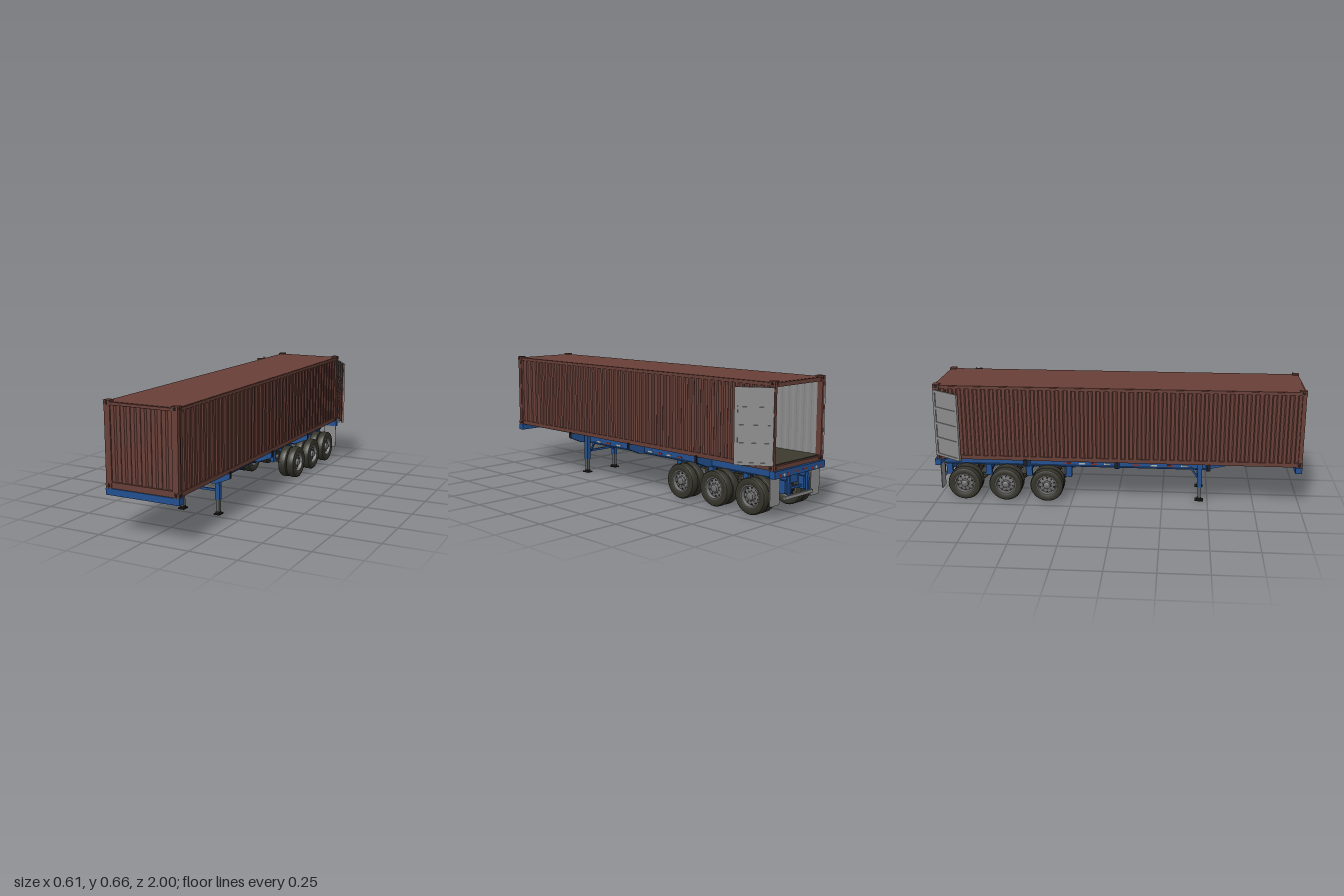
import * as THREE from 'three';
import { toCreasedNormals } from 'three/addons/utils/BufferGeometryUtils.js';

const paint = (name, color) => {
  const m = new THREE.MeshStandardMaterial({ color });
  m.name = name;
  return m;
};

export function createModel() {
  const brown = paint('container brown', 0x683f37);
  const blue = paint('chassis blue', 0x22508f);
  const grey = paint('liner grey', 0x8c8c8c);
  const rubber = paint('tyre rubber', 0x35342b);
  const rimGrey = paint('rim grey', 0x707070);
  const wood = paint('floor wood', 0x3d3a2f);
  const steel = paint('rod steel', 0x5a5f5d);
  const dark = paint('dark holes', 0x201c1a);
  const red = paint('lamp red', 0x8f2a1c);
  const white = paint('tape white', 0xb5b5b0);

  const root = new THREE.Group();
  root.name = 'containerTrailer';
  const group = (name, parent = root) => {
    const g = new THREE.Group();
    g.name = name;
    parent.add(g);
    return g;
  };
  const add = (p, name, geo, mat, x = 0, y = 0, z = 0) => {
    const m = new THREE.Mesh(geo, mat);
    m.name = name;
    m.position.set(x, y, z);
    p.add(m);
    return m;
  };
  const box = (p, name, mat, w, h, d, x, y, z) => add(p, name, new THREE.BoxGeometry(w, h, d), mat, x, y, z);
  const cyl = (p, name, mat, r, len, axis, x, y, z, seg = 12) => {
    const g = new THREE.CylinderGeometry(r, r, len, seg);
    if (axis === 'x') g.rotateZ(-Math.PI / 2);
    if (axis === 'z') g.rotateX(Math.PI / 2);
    return add(p, name, g, mat, x, y, z);
  };
  // Corrugated sheet, facing +z, with grooves going back by depth
  const sheet = (length, height, count, depth) => {
    const pts = [], pitch = length / count, pos = [], h = height / 2;
    for (let i = 0; i < count; i++) {
      const a = -length / 2 + i * pitch;
      pts.push([a, 0], [a + pitch * 0.36, 0], [a + pitch * 0.5, -depth], [a + pitch * 0.86, -depth]);
    }
    pts.push([length / 2, 0]);
    for (let i = 0; i < pts.length - 1; i++) {
      const [a, d] = pts[i], [b, e] = pts[i + 1];
      pos.push(a, -h, d, b, -h, e, b, h, e, a, -h, d, b, h, e, a, h, d);
    }
    const g = new THREE.BufferGeometry();
    g.setAttribute('position', new THREE.Float32BufferAttribute(pos, 3));
    g.computeVertexNormals();
    return g;
  };
  const extrude = (points, depth) => new THREE.ExtrudeGeometry(
    new THREE.Shape(points.map(([a, b]) => new THREE.Vector2(a, b))), { depth, bevelEnabled: false });
  const sides = [1, -1];

  // Container shell
  const shell = group('container');
  const L = 1.95, zMid = 0.006, H = 0.39, yMid = 0.45;
  for (const s of sides) {
    const turn = s * Math.PI / 2;
    add(shell, 'outerSideWall', sheet(L, H, 44, 0.006).rotateY(turn), brown, s * 0.196, yMid, zMid);
    add(shell, 'innerSideWall', sheet(L, H, 44, 0.004).rotateY(-turn), grey, s * 0.184, yMid, zMid);
    box(shell, 'topSideRail', brown, 0.014, 0.014, 1.96, s * 0.191, 0.646, zMid);
    box(shell, 'bottomSideRail', brown, 0.012, 0.022, 1.96, s * 0.192, 0.252, zMid);
    box(shell, 'frontPost', brown, 0.032, 0.38, 0.022, s * 0.183, 0.45, 0.986);
    box(shell, 'rearPost', brown, 0.016, 0.38, 0.03, s * 0.191, 0.45, -0.972);
    for (const z of [0.981, -0.971]) for (const y of [0.252, 0.651]) {
      box(shell, 'cornerCasting', brown, 0.034, 0.024, 0.036, s * 0.184, y, z);
      cyl(shell, 'castingSideHole', dark, 0.008, 0.002, 'x', s * 0.2008, y, z).scale.z = 1.3;
      cyl(shell, 'castingEndHole', dark, 0.007, 0.002, 'z', s * 0.184, y, z + Math.sign(z) * 0.0178).scale.y = 1.3;
    }
  }
  add(shell, 'outerFrontWall', sheet(0.336, 0.378, 6, 0.007), brown, 0, 0.452, 0.99);
  add(shell, 'innerFrontWall', sheet(0.376, 0.39, 7, 0.004).rotateY(Math.PI), grey, 0, 0.452, 0.976);
  box(shell, 'frontHeader', brown, 0.34, 0.014, 0.022, 0, 0.647, 0.986);
  box(shell, 'frontSill', brown, 0.34, 0.03, 0.022, 0, 0.256, 0.986);
  box(shell, 'rearHeader', brown, 0.37, 0.02, 0.03, 0, 0.645, -0.972);
  box(shell, 'rearSill', brown, 0.37, 0.02, 0.03, 0, 0.251, -0.972);
  box(shell, 'roof', brown, 0.39, 0.004, 1.97, 0, 0.654, zMid);
  add(shell, 'ceiling', sheet(L, 0.376, 40, 0.005).rotateX(Math.PI / 2).rotateY(Math.PI / 2), grey, 0, 0.645, zMid);
  box(shell, 'floor', wood, 0.376, 0.008, 1.96, 0, 0.262, zMid);
  for (let i = 0; i < 30; i++) box(shell, 'floorJoist', brown, 0.376, 0.015, 0.014, 0, 0.2505, -0.92 + i * 0.063);

  // Rear doors swung open, brown outside and grey inside
  for (const s of sides) {
    const door = group(s > 0 ? 'leftDoor' : 'rightDoor');
    door.position.set(s * 0.2, 0, -0.985);
    door.rotation.y = s > 0 ? -0.998 : -Math.PI + 0.998;
    const W = 0.184, mid = W / 2;
    box(door, 'outerPanel', brown, W, 0.37, 0.004, mid, 0.45, s * 0.002);
    box(door, 'innerPanel', grey, W, 0.37, 0.003, mid, 0.45, -s * 0.0015);
    for (const x of [0.008, W - 0.008]) {
      box(door, 'innerStile', grey, 0.016, 0.37, 0.005, x, 0.45, -s * 0.005);
      box(door, 'outerStile', brown, 0.012, 0.37, 0.004, x, 0.45, s * 0.006);
    }
    for (const y of [0.272, 0.365, 0.45, 0.535, 0.628]) box(door, 'innerRail', grey, W - 0.032, 0.014, 0.005, mid, y, -s * 0.005);
    for (const y of [0.372, 0.451, 0.528]) {
      for (const e of sides) box(door, 'pressedRib', brown, 0.125, 0.005, 0.006, 0.085, y + e * 0.012, s * 0.006);
      for (const x of [0.024, 0.146]) box(door, 'ribEnd', brown, 0.005, 0.028, 0.006, x, y, s * 0.006);
    }
    for (const y of [0.28, 0.39, 0.505, 0.62]) cyl(door, 'hinge', brown, 0.006, 0.018, 'y', 0, y, 0, 8);
    for (const x of [0.083, 0.143]) {
      cyl(door, 'lockRod', steel, 0.0028, 0.388, 'y', x, 0.451, s * 0.013, 8);
      for (const y of [0.272, 0.41, 0.51, 0.628]) box(door, 'rodBracket', steel, 0.01, 0.008, 0.012, x, y, s * 0.009);
      box(door, 'lockHandle', steel, 0.048, 0.005, 0.004, x - 0.012, 0.325, s * 0.016);
      box(door, 'handleCatch', steel, 0.006, 0.02, 0.006, x - 0.012, 0.325, s * 0.012);
    }
  }

  // Chassis rails with raised front neck
  const chassis = group('chassis');
  const railSide = [[0.98, 0.21], [0.98, 0.24], [-0.98, 0.24], [-0.98, 0.177], [0.5, 0.177], [0.65, 0.21]];
  const tape = [0.37, 0.29, 0.2, 0.1, -0.06, -0.13, -0.2, -0.28];
  for (const s of sides) {
    add(chassis, 'mainRail', extrude(railSide, 0.022).rotateY(-Math.PI / 2), blue, s * 0.076 + 0.011);
    box(chassis, 'railFlange', blue, 0.04, 0.005, 1.48, s * 0.076, 0.178, -0.24);
    tape.forEach((z, i) => box(chassis, 'tapeStrip', i % 2 ? red : white, 0.003, 0.008, 0.035, s * 0.0965, 0.191, z)
      .position.setX(s * 0.0885));
    for (const z of [0.93, 0.88, 0.76]) box(chassis, 'neckTape', white, 0.003, 0.006, 0.025, s * 0.0885, 0.225, z);
  }
  box(chassis, 'frontBolster', blue, 0.406, 0.033, 0.035, 0, 0.2225, 0.98);
  box(chassis, 'rearBolster', blue, 0.406, 0.036, 0.032, 0, 0.222, -0.984);
  for (let z = 0.85; z > -0.95; z -= 0.15) box(chassis, 'crossMember', blue, 0.132, 0.028, 0.018, 0, z > 0.55 ? 0.225 : 0.205, z);
  box(chassis, 'couplerPlate', blue, 0.14, 0.005, 0.26, 0, 0.21, 0.82);
  cyl(chassis, 'kingpin', steel, 0.009, 0.018, 'y', 0, 0.2, 0.83);
  cyl(chassis, 'kingpinCollar', steel, 0.012, 0.004, 'y', 0, 0.193, 0.83);

  // Tapered outriggers with twist locks
  const wing = [[-0.2, 0.24], [-0.2, 0.21], [-0.12, 0.177], [0.12, 0.177], [0.2, 0.21], [0.2, 0.24]];
  for (const z of [0.5, 0, -0.5]) {
    add(chassis, 'outrigger', extrude(wing, 0.02), blue, 0, 0, z - 0.01);
    for (const s of sides) box(chassis, 'lockTab', dark, 0.006, 0.034, 0.016, s * 0.2, 0.23, z);
  }

  // Landing legs
  const landing = group('landingGear');
  for (const s of sides) {
    box(landing, 'legHousing', blue, 0.024, 0.14, 0.026, s * 0.107, 0.15, 0.455);
    box(landing, 'legSlider', steel, 0.018, 0.08, 0.018, s * 0.107, 0.047, 0.455);
    box(landing, 'legFoot', dark, 0.036, 0.006, 0.046, s * 0.107, 0.003, 0.455);
    box(landing, 'footCollar', dark, 0.024, 0.01, 0.024, s * 0.107, 0.01, 0.455);
    box(landing, 'legBrace', blue, 0.008, 0.085, 0.01, s * 0.092, 0.15, 0.43).rotation.x = -0.6;
  }
  box(landing, 'legCrossBar', blue, 0.2, 0.012, 0.01, 0, 0.128, 0.455);

  // Tyre and dished rim turned on the wheel axis
  const lathe = pts => toCreasedNormals(new THREE.LatheGeometry(
    pts.map(([r, y]) => new THREE.Vector2(r, y)), 36), 0.6);
  const tyreGeo = lathe([[0.054, -0.02], [0.066, -0.024], [0.08, -0.0245], [0.088, -0.021], [0.092, -0.014], [0.092, 0.014],
    [0.088, 0.021], [0.08, 0.0245], [0.066, 0.024], [0.054, 0.02]]);
  const rimGeo = lathe([[0, -0.008], [0.046, -0.008], [0.05, -0.021], [0.056, -0.021], [0.056, 0.021], [0.051, 0.022],
    [0.047, 0.002], [0.032, 0.007], [0.022, 0.007], [0.019, 0.021], [0.014, 0.024], [0, 0.024]]);

  // Three axles with twin wheels and springs
  const running = group('runningGear');
  for (const z of [-0.385, -0.615, -0.845]) {
    cyl(running, 'axle', wood, 0.012, 0.3, 'x', 0, 0.095, z, 16);
    for (const s of sides) {
      for (const x of [0.122, 0.173]) {
        const wheel = group('wheel', running);
        wheel.position.set(s * x, 0.095, z);
        wheel.rotation.z = (x > 0.15 ? -s : s) * Math.PI / 2;
        add(wheel, 'tyre', tyreGeo, rubber);
        add(wheel, 'rim', rimGeo, rimGrey);
        for (let i = 0; i < 10; i++) {
          const a = i * Math.PI / 5, c = Math.cos(a), n = Math.sin(a);
          cyl(wheel, 'handHole', dark, 0.005, 0.004, 'y', c * 0.04, 0.004, n * 0.04, 8);
          cyl(wheel, 'wheelNut', steel, 0.0022, 0.005, 'y', c * 0.027, 0.009, n * 0.027, 6);
        }
      }
      cyl(running, 'brakeDrum', dark, 0.04, 0.018, 'x', s * 0.105, 0.095, z, 20);
      box(running, 'leafSpring', wood, 0.014, 0.01, 0.19, s * 0.076, 0.115, z);
      box(running, 'springClamp', wood, 0.02, 0.046, 0.03, s * 0.076, 0.1, z);
    }
  }
  for (const z of [-0.275, -0.5, -0.73, -0.955]) {
    for (const s of sides) box(running, 'springHanger', blue, 0.02, 0.07, 0.034, s * 0.076, 0.145, z);
    box(running, 'hangerTie', blue, 0.134, 0.011, 0.012, 0, 0.127, z);
  }
  box(running, 'rearCrossPlate', blue, 0.132, 0.06, 0.012, 0, 0.172, -0.93);

  // Rear guard, mud flaps and lamps
  const rear = group('rearEnd');
  for (const s of sides) {
    add(rear, 'mudFlap', extrude([[-0.034, 0.065], [0.034, 0.065], [0.038, 0.075], [0.038, 0.205], [-0.038, 0.205], [-0.038, 0.075]], 0.004),
      grey, s * 0.164, 0, -0.972);
    box(rear, 'guardArm', blue, 0.014, 0.11, 0.012, s * 0.075, 0.15, -0.988);
    for (const [x, mat] of [[0.1, red], [0.13, white], [0.16, red]])
      cyl(rear, 'tailLamp', mat, 0.008, 0.004, 'z', s * x, 0.216, -0.9985);
    box(rear, 'rearTape', red, 0.03, 0.007, 0.003, s * 0.035, 0.222, -0.999);
  }
  box(rear, 'guardBar', grey, 0.23, 0.016, 0.012, 0, 0.097, -0.99);
  return root;
}
